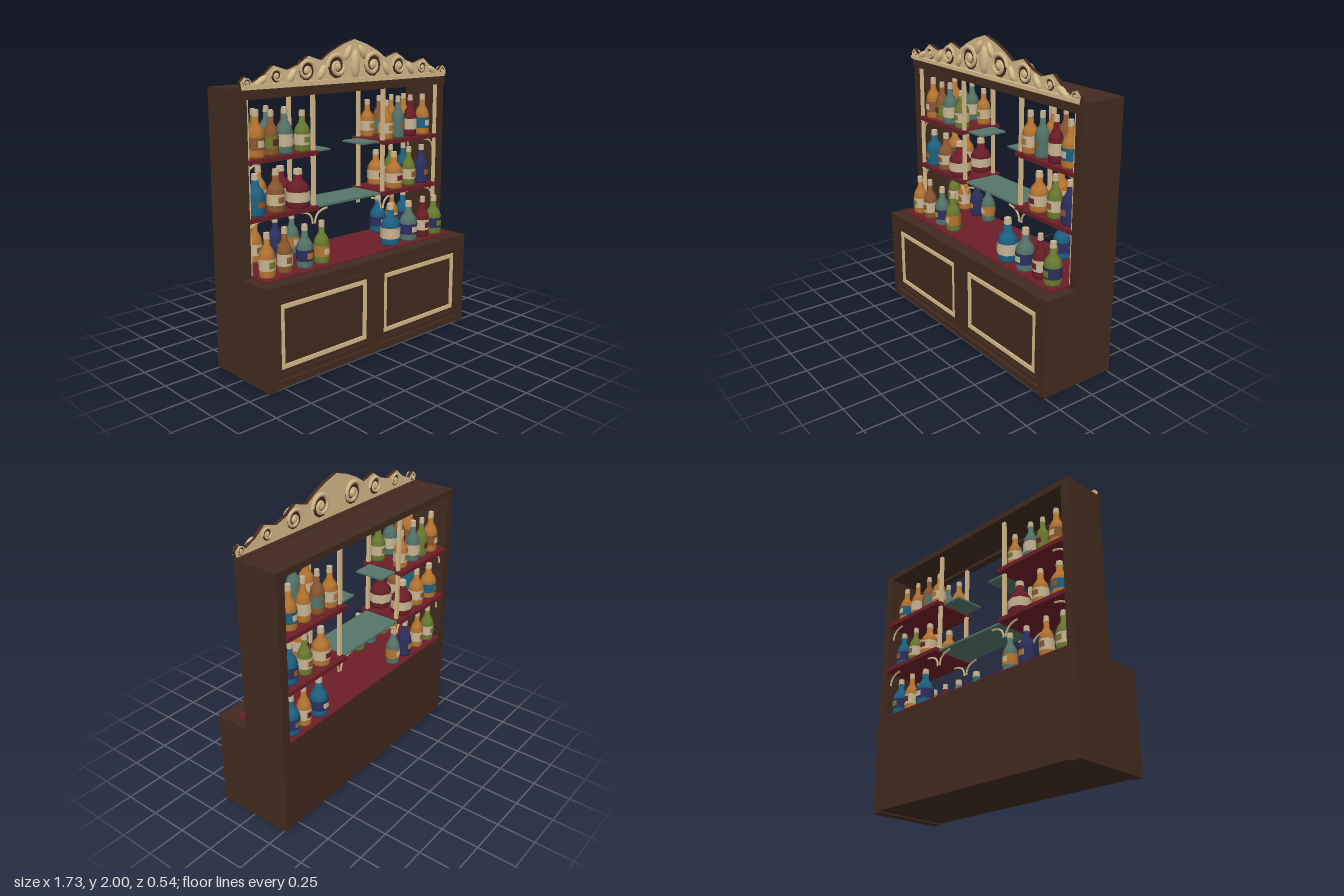
import * as THREE from 'three';

const mat = (name, color) => {
  const m = new THREE.MeshStandardMaterial({ color });
  m.name = name;
  return m;
};

export function createModel() {
  const root = new THREE.Group();
  root.name = 'bottleCabinet';
  const brown = mat('dark wood', 0x422a1f), cream = mat('carved cream', 0xd8bd8c),
    red = mat('dark red', 0x6c1e27), teal = mat('teal glass', 0x55756b),
    amber = mat('amber', 0xb87630), olive = mat('olive green', 0x6c7c30),
    blue = mat('blue', 0x1c6284), navy = mat('navy', 0x2c3060),
    copper = mat('copper', 0x8c5830), label = mat('label paper', 0xc9b594);

  const add = (name, geo, material, parent = root) => {
    const m = new THREE.Mesh(geo, material);
    m.name = name;
    parent.add(m);
    return m;
  };
  // box given by its min and max corners
  const box = (name, material, x0, x1, y0, y1, z0, z1) => {
    const m = add(name, new THREE.BoxGeometry(x1 - x0, y1 - y0, z1 - z0), material);
    m.position.set((x0 + x1) / 2, (y0 + y1) / 2, (z0 + z1) / 2);
    return m;
  };
  const rect = (P, x0, x1, y0, y1) => new P([[x0, y0], [x1, y0], [x1, y1], [x0, y1]]
    .map(([x, y]) => new THREE.Vector2(x, y)));
  // rectangular frame standing on a front face
  const frame = (name, material, x0, x1, y0, y1, w, z, depth) => {
    const s = rect(THREE.Shape, x0, x1, y0, y1);
    s.holes.push(rect(THREE.Path, x0 + w, x1 - w, y0 + w, y1 - w));
    add(name, new THREE.ExtrudeGeometry(s, { depth, bevelEnabled: false }), material).position.z = z;
  };

  // Base cupboard with plinth, counter and two framed doors
  box('base', brown, -0.855, 0.855, 0.02, 0.6, -0.27, 0.24);
  box('plinth', brown, -0.865, 0.865, 0.01, 0.05, -0.27, 0.26);
  box('counterEdge', brown, -0.865, 0.865, 0.57, 0.638, -0.27, 0.262);
  box('counterTop', red, -0.8, 0.8, 0.637, 0.646, -0.272, 0.17);
  for (const s of [-1, 1]) {
    box('basePilaster', brown, s * 0.835 - 0.03, s * 0.835 + 0.03, 0, 0.6, -0.27, 0.26);
    const c = s * 0.42;
    frame('doorFrame', brown, c - 0.375, c + 0.375, 0.06, 0.56, 0.03, 0.24, 0.012);
    frame('doorMoulding', cream, c - 0.343, c + 0.343, 0.118, 0.517, 0.027, 0.24, 0.009);
  }
  box('doorDivider', brown, -0.035, 0.035, 0.05, 0.57, 0.23, 0.255);

  // Upper case: sides, top and front rail
  box('topPanel', brown, -0.865, 0.865, 1.7, 1.74, -0.27, 0.03);
  box('topRail', brown, -0.865, 0.865, 1.68, 1.745, -0.01, 0.04);
  for (const s of [-1, 1]) {
    box('sidePanel', brown, s * 0.835 - 0.03, s * 0.835 + 0.03, 0.63, 1.74, -0.27, 0.03);
    box('sideBead', cream, s * 0.8 - 0.008, s * 0.8 + 0.008, 0.65, 1.68, 0.0, 0.024);

    // Red shelves, cream posts and curved brackets
    for (const y of [0.98, 1.325]) {
      box('shelf', red, s * 0.545 - 0.26, s * 0.545 + 0.26, y - 0.015, y + 0.012, -0.28, 0.035);
    }
    box('glassStub', teal, s * 0.215 - 0.075, s * 0.215 + 0.075, 1.319, 1.33, -0.22, -0.02);
    for (const z of [0.0, -0.235]) {
      box('post', cream, s * 0.3 - 0.012, s * 0.3 + 0.012, 0.97, 1.69, z - 0.01, z + 0.01);
      for (const [x, y, d] of [[0.29, 0.965, -1], [0.8, 0.965, -1], [0.8, 1.31, -1], [0.31, 0.965, 1]]) {
        const curve = new THREE.QuadraticBezierCurve3(
          new THREE.Vector3(s * x, y - 0.09, z),
          new THREE.Vector3(s * x, y - 0.01, z),
          new THREE.Vector3(s * (x + d * 0.1), y - 0.005, z));
        add('bracket', new THREE.TubeGeometry(curve, 6, 0.007, 5), cream);
      }
    }
  }
  box('glassShelf', teal, -0.29, 0.29, 0.97, 0.983, -0.25, 0.0);

  // Carved crest: scalloped board with dark edges, lower roll and mirrored scrolls
  const edge = [[0, 2], [0.1, 1.97], [0.2, 1.925], [0.27, 1.88], [0.37, 1.91], [0.45, 1.86],
    [0.53, 1.835], [0.63, 1.865], [0.7, 1.81], [0.78, 1.775], [0.83, 1.81], [0.86, 1.78], [0.85, 1.735]];
  const crest = new THREE.Shape([...edge, ...edge.slice(1).reverse().map(([x, y]) => [-x, y])]
    .map(([x, y]) => new THREE.Vector2(x, y)));
  add('crestBoard', new THREE.ExtrudeGeometry(crest, { depth: 0.025, bevelEnabled: false }), [cream, brown])
    .position.z = 0.025;
  box('crestRoll', cream, -0.84, 0.84, 1.745, 1.765, 0.03, 0.068);
  const scroll = (x, y, r, dir) => {
    const pts = [];
    for (let i = 0; i <= 14; i++) {
      const a = i * 0.6, q = r * (1 - i / 18);
      pts.push(new THREE.Vector3(x + dir * q * Math.cos(a), y + q * Math.sin(a), 0));
    }
    const tube = new THREE.TubeGeometry(new THREE.CatmullRomCurve3(pts), 32, r * 0.17, 5);
    // carved on the front and, more shallowly, on the back
    for (const [z, turn] of [[0.056, 0], [0.022, Math.PI]]) {
      add('crestScroll', tube, cream).position.z = z;
      const hollow = add('crestHollow', new THREE.CircleGeometry(r * 0.9, 10), brown);
      hollow.position.set(x, y, turn ? 0.023 : 0.0525);
      hollow.rotation.y = turn;
      const boss = add('crestBoss', new THREE.SphereGeometry(r * 0.36, 8, 6), cream);
      boss.scale.z = 0.6;
      boss.position.set(x, y, z);
    }
  };
  for (const s of [-1, 1]) {
    scroll(s * 0.15, 1.84, 0.08, s);
    scroll(s * 0.39, 1.825, 0.064, -s);
    scroll(s * 0.61, 1.805, 0.042, s);
    scroll(s * 0.82, 1.775, 0.027, -s);
    for (const [x, y, tilt] of [[0.27, 1.81, 0.5], [0.5, 1.8, 0.6], [0.72, 1.78, 1], [0.06, 1.92, 0.5]]) {
      const leaf = add('crestLeaf', new THREE.SphereGeometry(0.05, 8, 6), cream);
      leaf.scale.set(0.45, 1, 0.45);
      leaf.position.set(s * x, y, 0.05);
      leaf.rotation.z = s * tilt;
    }
  }
  const keystone = add('crestKeystone', new THREE.SphereGeometry(0.06, 8, 6), cream);
  keystone.scale.set(0.6, 1.5, 0.4);
  keystone.position.set(0, 1.85, 0.055);

  // Bottles: eight-sided lathe body, wrapped paper label with accent patches, and stopper
  const bottle = (x, y, z, h, r, glass, paper, accent) => {
    const g = new THREE.Group();
    g.name = 'bottle';
    g.position.set(x, y, z);
    const profile = [[0, 0], [0.9, 0], [1, 0.05], [1, 0.48], [0.8, 0.6], [0.4, 0.72], [0.34, 0.9], [0, 0.9]]
      .map(([a, b]) => new THREE.Vector2(a * r, b * h));
    add('bottleBody', new THREE.LatheGeometry(profile, 8), glass, g);
    const wrap = (name, grow, tall, start, length, material) => {
      const m = add(name, new THREE.CylinderGeometry(r * grow, r * grow, h * tall, 8, 1, true, start, length),
        material, g);
      m.position.y = h * 0.3;
    };
    wrap('bottleLabel', 1.04, 0.26, 0, Math.PI * 2, paper);
    for (const a of [-0.4, Math.PI - 0.4]) wrap('labelPatch', 1.08, 0.14, a, 0.8, accent);
    const stopper = add('bottleStopper', new THREE.CylinderGeometry(r * 0.36, r * 0.4, h * 0.14, 8), label, g);
    stopper.position.y = h * 0.93;
    root.add(g);
  };
  // x, height, radius, glass, label, accent, glass of the bottle behind
  const rows = [
    { y: 1.337, z: -0.025, list: [
      [-0.71, 0.28, 0.052, amber, copper, label, amber], [-0.6, 0.27, 0.045, copper, olive, red, olive],
      [-0.5, 0.28, 0.05, teal, label, label, teal], [-0.365, 0.25, 0.05, olive, label, olive, amber],
      [0.355, 0.26, 0.05, amber, label, amber, amber], [0.467, 0.28, 0.045, teal, teal, copper, copper],
      [0.588, 0.28, 0.045, red, label, label, amber], [0.71, 0.28, 0.05, amber, blue, label, amber]] },
    { y: 0.992, z: -0.03, list: [
      [-0.72, 0.25, 0.06, blue, blue, copper, amber], [-0.57, 0.26, 0.055, copper, label, copper, amber],
      [-0.4, 0.24, 0.074, red, label, label, red], [0.44, 0.25, 0.06, amber, label, red, amber],
      [0.587, 0.27, 0.047, olive, label, copper, olive], [0.715, 0.27, 0.05, navy, navy, copper, blue]] },
    { y: 0.645, z: 0.09, list: [
      [-0.735, 0.27, 0.05, amber, label, olive, olive], [-0.605, 0.28, 0.047, copper, label, copper, amber],
      [-0.45, 0.27, 0.052, teal, navy, amber, navy], [-0.315, 0.27, 0.05, olive, amber, label, teal],
      [0.29, 0.28, 0.065, blue, label, label, blue], [0.465, 0.27, 0.06, teal, navy, label, blue],
      [0.605, 0.28, 0.047, red, label, red, amber], [0.72, 0.27, 0.055, olive, navy, olive, blue]] },
  ];
  for (const { y, z, list } of rows) {
    for (const [x, h, r, glass, paper, accent, behind] of list) {
      bottle(x, y, z, h, r, glass, paper, accent);
      if (x !== 0.29) bottle(x, y, -0.205, h * 0.97, r * 0.95, behind, paper, accent);
    }
  }
  return root;
}
